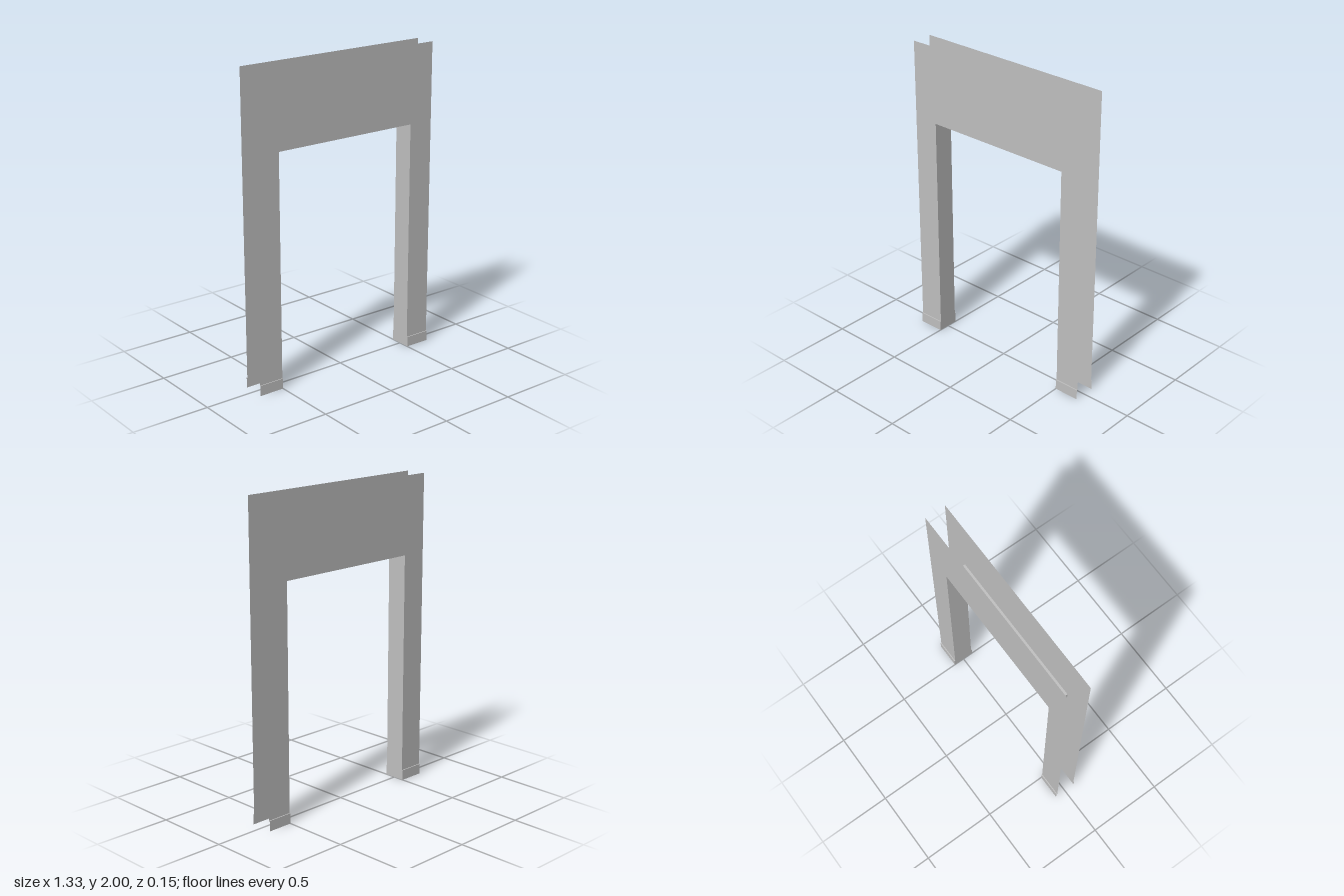
import * as THREE from 'three';

const HALF_W = 0.667, OPEN_W = 0.5, HEIGHT = 2, OPEN_H = 1.5;
const WALL_Z = 0.0667, SKIRT_Z = 0.0733, SKIRT_H = 0.0667;
const LEG_W = HALF_W - OPEN_W, LEG_X = (HALF_W + OPEN_W) / 2;

export function createModel() {
  const group = new THREE.Group();
  const grey = new THREE.MeshStandardMaterial({ color: 0xbfbfbf, side: THREE.DoubleSide });
  grey.name = 'wallGrey';

  const add = (name, geometry, x, y, z, rx = 0, ry = 0) => {
    const mesh = new THREE.Mesh(geometry, grey);
    mesh.name = name;
    mesh.position.set(x, y, z);
    mesh.rotation.set(rx, ry, 0);
    group.add(mesh);
  };
  const plane = (w, h) => new THREE.PlaneGeometry(w, h);

  // Wall outline around the doorway, starting above the skirting
  const outline = new THREE.Shape([
    [-HALF_W, SKIRT_H], [-OPEN_W, SKIRT_H], [-OPEN_W, OPEN_H], [OPEN_W, OPEN_H],
    [OPEN_W, SKIRT_H], [HALF_W, SKIRT_H], [HALF_W, HEIGHT], [-HALF_W, HEIGHT],
  ].map(([x, y]) => new THREE.Vector2(x, y)));

  for (const face of [1, -1]) {
    const label = face > 0 ? 'front' : 'back';
    const turn = face > 0 ? 0 : Math.PI;
    add(label + 'Wall', new THREE.ShapeGeometry(outline), 0, 0, face * WALL_Z, 0, turn);

    // Skirting on each leg, stepped out from the wall by a narrow ledge
    for (const side of [1, -1]) {
      add(label + 'Skirting', plane(LEG_W, SKIRT_H), side * LEG_X, SKIRT_H / 2, face * SKIRT_Z, 0, turn);
      add(label + 'SkirtingLedge', plane(LEG_W, SKIRT_Z - WALL_Z),
        side * LEG_X, SKIRT_H, face * (WALL_Z + SKIRT_Z) / 2, -Math.PI / 2);
    }
  }

  // Inner sides of the doorway, wider at the foot to close the skirting ends
  for (const side of [1, -1]) {
    const turn = -side * Math.PI / 2;
    add('jamb', plane(2 * WALL_Z, OPEN_H - SKIRT_H), side * OPEN_W, (OPEN_H + SKIRT_H) / 2, 0, 0, turn);
    add('jambFoot', plane(2 * SKIRT_Z, SKIRT_H), side * OPEN_W, SKIRT_H / 2, 0, 0, turn);
  }

  // Underside of the doorway head
  add('doorwaySoffit', plane(2 * OPEN_W, 2 * WALL_Z), 0, OPEN_H, 0, Math.PI / 2);

  return group;
}
